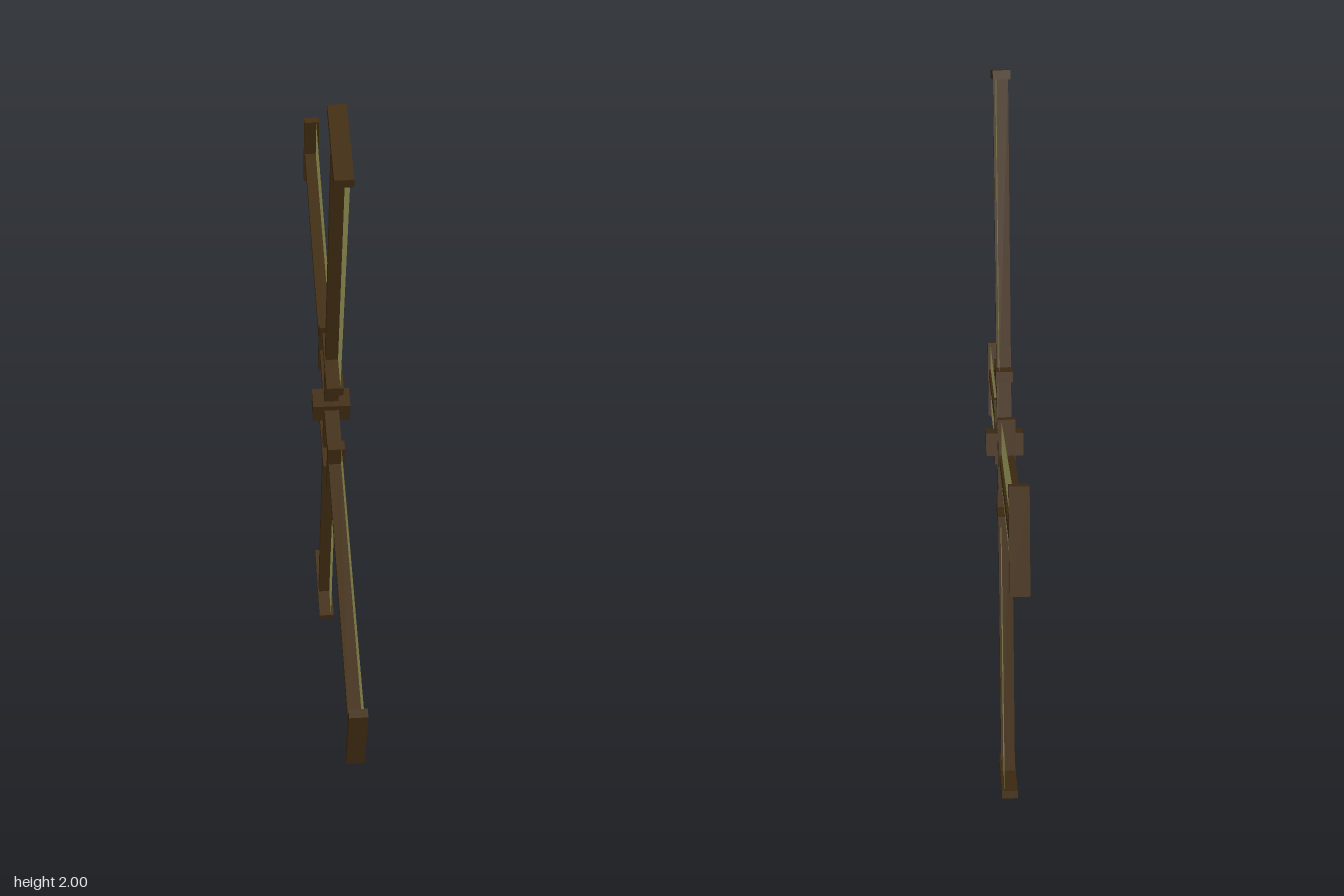
import * as THREE from 'three';

const wood = new THREE.MeshStandardMaterial({ color: 0x402c12, flatShading: true });
const cloth = new THREE.MeshStandardMaterial({ color: 0xb2b268, side: THREE.DoubleSide });

// Box given by its ranges in x (depth), y (along the arm) and z (across it)
function beam(name, [x0, x1], [y0, y1], [z0, z1]) {
  const geo = new THREE.BoxGeometry(x1 - x0, y1 - y0, z1 - z0);
  geo.translate((x0 + x1) / 2, (y0 + y1) / 2, (z0 + z1) / 2);
  const mesh = new THREE.Mesh(geo, wood);
  mesh.name = name;
  return mesh;
}

// Tapered cloth panel, wider at the tip and on the +z side
function sailCloth() {
  const shape = new THREE.Shape([
    new THREE.Vector2(-0.078, 0.2),
    new THREE.Vector2(0.11, 0.2),
    new THREE.Vector2(0.143, 1.0),
    new THREE.Vector2(-0.103, 1.0),
  ]);
  const geo = new THREE.ShapeGeometry(shape);
  geo.rotateY(-Math.PI / 2); // shape x becomes +z
  geo.translate(0.014, 0, 0);
  const mesh = new THREE.Mesh(geo, cloth);
  mesh.name = 'sailCloth';
  return mesh;
}

function createArm() {
  const arm = new THREE.Group();
  arm.name = 'sailArm';
  const depth = [-0.023, 0.023];
  arm.add(
    beam('spar', [-0.02, 0.02], [0, 1.0], [-0.014, 0.014]),
    beam('innerCrossbar', depth, [0.186, 0.216], [-0.081, 0.113]),
    beam('tipCrossbar', depth, [0.995, 1.018], [-0.105, 0.147]),
    sailCloth(),
  );
  return arm;
}

export function createModel() {
  const model = new THREE.Group();
  model.name = 'windmillSails';

  // Rotor lies in the yz plane and turns about the x axis
  const rotor = new THREE.Group();
  rotor.name = 'rotor';
  rotor.position.y = 1;
  rotor.rotation.x = THREE.MathUtils.degToRad(18);
  rotor.add(beam('hub', [-0.052, 0.052], [-0.032, 0.032], [-0.032, 0.032]));
  for (let i = 0; i < 4; i++) {
    const arm = createArm();
    arm.rotation.x = (i * Math.PI) / 2;
    rotor.add(arm);
  }
  model.add(rotor);
  return model;
}
